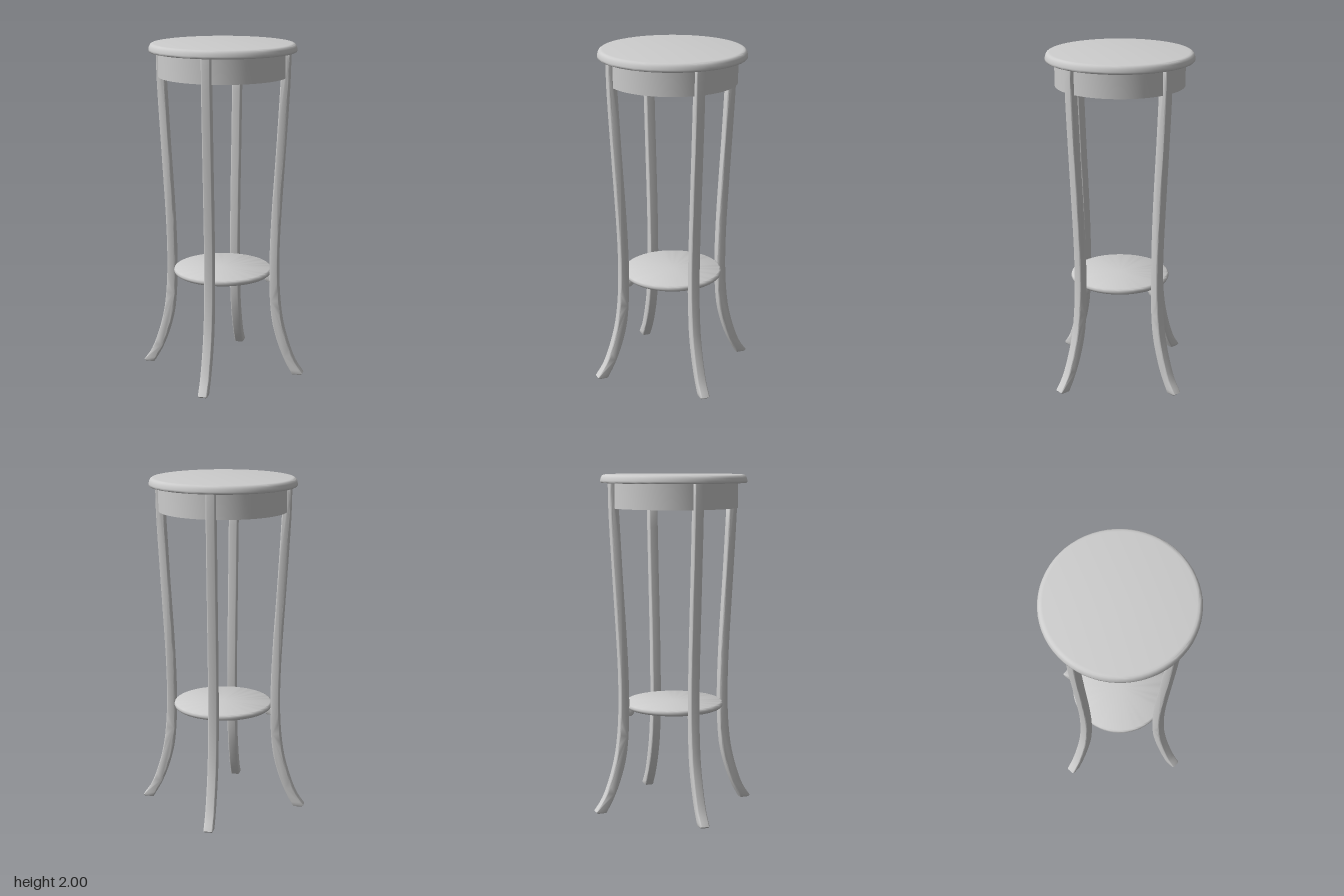
import * as THREE from 'three';
import { toCreasedNormals } from 'three/addons/utils/BufferGeometryUtils.js';

const wood = new THREE.MeshStandardMaterial({ color: 0xcccccc });
wood.name = 'pale grey wood';

function add(parent, name, geometry) {
  const mesh = new THREE.Mesh(toCreasedNormals(geometry, 0.9), wood);
  mesh.name = name;
  parent.add(mesh);
  return mesh;
}

// Closed turned part from [radius, height] pairs, bottom to top
const turned = (points) =>
  new THREE.LatheGeometry(points.map(([r, y]) => new THREE.Vector2(r, y)), 64);

// Extruded outline centred on z = 0, with softened edges
function slab(shape, width, bevel) {
  const geometry = new THREE.ExtrudeGeometry(shape, {
    depth: width - 2 * bevel, bevelEnabled: true, bevelThickness: bevel,
    bevelSize: bevel, bevelOffset: -bevel, bevelSegments: 3, curveSegments: 8,
  });
  return geometry.translate(0, 0, bevel - width / 2);
}

// Sabre leg outline in the radial plane, with a rounded shoulder under the apron
function legShape() {
  const curve = (points) => new THREE.CatmullRomCurve3(
    points.map(([x, y]) => new THREE.Vector3(x, y, 0))).getPoints(28);
  const outer = curve([[0.503, 0.01], [0.455, 0.08], [0.411, 0.19], [0.373, 0.33], [0.353, 0.48],
    [0.345, 0.65], [0.347, 0.85], [0.356, 1.05], [0.376, 1.4], [0.397, 1.8], [0.399, 1.955]]);
  const shoulder = [[0.362, 1.955], [0.362, 1.814], [0.352, 1.812]]
    .map(([x, y]) => new THREE.Vector3(x, y, 0));
  const inner = curve([[0.346, 1.8], [0.325, 1.4], [0.304, 1.05], [0.295, 0.85],
    [0.291, 0.65], [0.296, 0.48], [0.312, 0.33], [0.35, 0.19], [0.395, 0.08], [0.44, 0]]);
  const foot = new THREE.Vector3(0.492, 0, 0);
  return new THREE.Shape([...outer, ...shoulder, ...inner, foot]
    .map((p) => new THREE.Vector2(p.x, p.y)));
}

// Quarter-round bracket under the shelf
function bracketShape() {
  const shape = new THREE.Shape();
  shape.moveTo(0.3, 0.578);
  shape.lineTo(0.3, 0.62);
  shape.lineTo(0.257, 0.62);
  shape.lineTo(0.257, 0.608);
  shape.quadraticCurveTo(0.259, 0.58, 0.285, 0.578);
  return shape;
}

export function createModel() {
  const stand = new THREE.Group();
  stand.name = 'plantStand';

  // Round top, widest near its lower edge, with a softened upper edge
  add(stand, 'top', turned([[0, 1.952], [0.426, 1.952], [0.43, 1.957], [0.43, 1.966],
    [0.426, 1.982], [0.42, 1.993], [0.412, 1.998], [0.4, 2], [0, 2]]));

  // Drum apron with a closed, slightly recessed underside
  add(stand, 'apron', turned([[0, 1.816], [0.352, 1.816], [0.36, 1.807], [0.376, 1.807],
    [0.376, 1.955], [0, 1.955]]));

  // Lower shelf with a rounded rim
  add(stand, 'shelf', turned([[0, 0.616], [0.284, 0.616], [0.292, 0.622], [0.296, 0.633],
    [0.292, 0.645], [0.284, 0.65], [0, 0.65]]));

  // Four legs, each with its shelf bracket
  const leg = slab(legShape(), 0.056, 0.008);
  const bracket = slab(bracketShape(), 0.03, 0.003);
  for (let i = 0; i < 4; i++) {
    const side = new THREE.Group();
    side.name = `legAssembly${i + 1}`;
    side.rotation.y = (i * Math.PI) / 2;
    add(side, 'leg', leg);
    add(side, 'shelfBracket', bracket);
    stand.add(side);
  }
  return stand;
}
